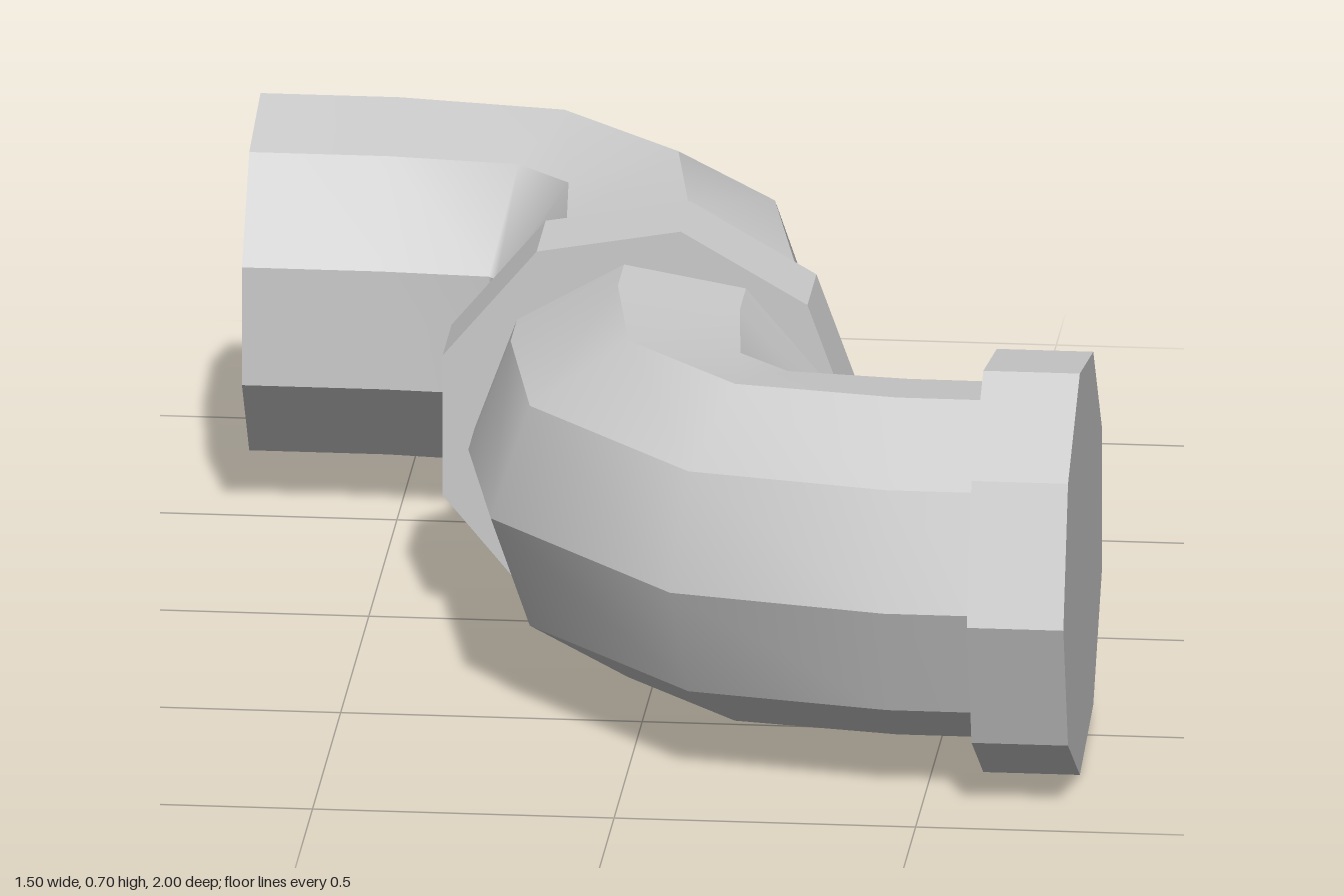
import * as THREE from 'three';

const SIDES = 9;
const INNER = 1 + Math.cos(Math.PI / SIDES); // vertex-to-flat width for a unit radius
const material = new THREE.MeshStandardMaterial({ color: 0xcccccc });

// Nine-sided loft. Each ring is [outerX, outerZ, innerX, innerZ]: the corner on
// the outside of the bend and the flat on the inside. Every long face is its own
// strip, so it is smooth along the pipe and creased at the long edges.
function loft(name, rings, radius, centerY) {
  const pos = [], index = [];
  const corner = ([ox, oz, ix, iz], j) => {
    const a = (j / SIDES) * Math.PI * 2;
    const t = (1 - Math.cos(a)) / INNER;
    return [ox + (ix - ox) * t, centerY + radius * Math.sin(a), oz + (iz - oz) * t];
  };
  for (let j = 0; j < SIDES; j++) {
    const base = pos.length / 3;
    rings.forEach((ring, i) => {
      pos.push(...corner(ring, j), ...corner(ring, j + 1));
      if (i === 0) return;
      const a = base + (i - 1) * 2;
      index.push(a, a + 1, a + 3, a, a + 3, a + 2);
    });
  }
  // flat end caps
  [rings[0], rings[rings.length - 1]].forEach((ring, end) => {
    const base = pos.length / 3;
    for (let j = 0; j < SIDES; j++) pos.push(...corner(ring, j));
    for (let j = 1; j < SIDES - 1; j++) {
      if (end) index.push(base, base + j, base + j + 1);
      else index.push(base, base + j + 1, base + j);
    }
  });
  const geometry = new THREE.BufferGeometry();
  geometry.setAttribute('position', new THREE.Float32BufferAttribute(pos, 3));
  geometry.setIndex(index);
  geometry.computeVertexNormals();
  const mesh = new THREE.Mesh(geometry, material);
  mesh.name = name;
  return mesh;
}

export function createModel() {
  const group = new THREE.Group();
  group.name = 'pipeBend';

  // rear elbow, from the open left end round to the middle collar
  group.add(loft('rearElbow', [
    [-0.75, -1, -0.75, -0.425],
    [-0.52, -1, -0.52, -0.425],
    [-0.17, -0.94, -0.34, -0.415],
    [0.18, -0.61, -0.325, -0.4],
    [0.255, -0.25, -0.327, -0.25],
    [0.255, -0.05, -0.327, -0.05],
  ], 0.3, 0.355));

  // front elbow, from the end collar round to the middle collar
  group.add(loft('frontElbow', [
    [0.65, 0.94, 0.65, 0.36],
    [0.44, 0.94, 0.44, 0.358],
    [0.08, 0.865, 0.285, 0.352],
    [-0.25, 0.51, 0.27, 0.345],
    [-0.32, 0.16, 0.262, 0.16],
    [-0.32, -0.05, 0.262, -0.05],
  ], 0.298, 0.35));

  // collars
  group.add(loft('middleCollar', [
    [0.315, -0.11, -0.373, -0.11],
    [0.315, 0.05, -0.373, 0.05],
  ], 0.355, 0.354));
  group.add(loft('endCollar', [
    [0.745, 1, 0.745, 0.312],
    [0.585, 1, 0.585, 0.312],
  ], 0.355, 0.35));

  return group;
}
